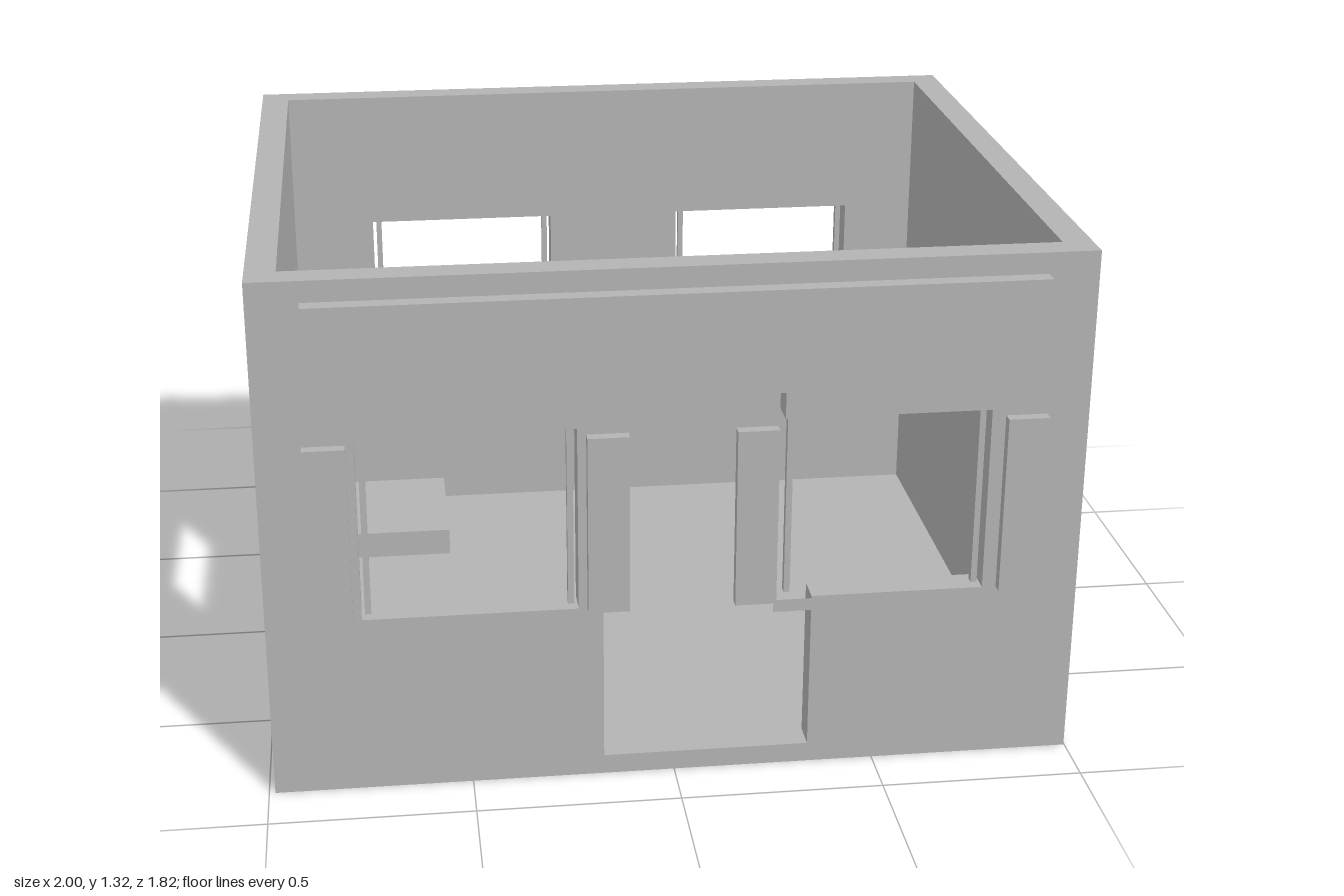
import * as THREE from 'three';

const grey = new THREE.MeshStandardMaterial({ color: 0xb3b3b3, side: THREE.DoubleSide });
grey.name = 'plain grey';

const LEFT = -0.985, RIGHT = 0.998, BACK = -0.82, FRONT = 0.86, TOP = 1.32, T = 0.073;

export function createModel() {
  const model = new THREE.Group();
  model.name = 'shopBuilding';

  const add = (name, geometry) => {
    const mesh = new THREE.Mesh(geometry, grey);
    mesh.name = name;
    model.add(mesh);
    return mesh;
  };

  // box given by its limits on each axis
  const box = (name, x0, x1, y0, y1, z0, z1) =>
    add(name, new THREE.BoxGeometry(x1 - x0, y1 - y0, z1 - z0)
      .translate((x0 + x1) / 2, (y0 + y1) / 2, (z0 + z1) / 2));

  // flat upright plate facing front or back
  const plate = (name, x0, x1, y0, y1, z) => {
    const g = new THREE.PlaneGeometry(x1 - x0, y1 - y0);
    if (z < 0) g.rotateY(Math.PI);
    return add(name, g.translate((x0 + x1) / 2, (y0 + y1) / 2, z));
  };

  const rect = (x0, x1, y0, y1) => [[x0, y0], [x1, y0], [x1, y1], [x0, y1]];
  const points = list => list.map(p => new THREE.Vector2(p[0], p[1]));

  // wall slab with openings, in the xy plane
  const wallGeometry = (outline, openings) => {
    const shape = new THREE.Shape(points(outline));
    for (const o of openings) shape.holes.push(new THREE.Path(points(o)));
    return new THREE.ExtrudeGeometry(shape, { depth: T, bevelEnabled: false });
  };

  // leave the two ends of a wall open
  const openEnds = (geometry, x0, x1) => {
    const p = geometry.attributes.position, kept = [];
    for (let i = 0; i < p.count; i += 3) {
      const atEnd = x => [0, 1, 2].every(k => Math.abs(p.getX(i + k) - x) < 1e-4);
      if (atEnd(x0) || atEnd(x1)) continue;
      for (let k = 0; k < 3; k++) kept.push(p.getX(i + k), p.getY(i + k), p.getZ(i + k));
    }
    const g = new THREE.BufferGeometry();
    g.setAttribute('position', new THREE.Float32BufferAttribute(kept, 3));
    g.computeVertexNormals();
    return g;
  };

  // floor
  box('floor', LEFT, RIGHT, 0, 0.05, BACK, FRONT);

  // front wall: one window, and a doorway that runs into the second window
  const face = rect(LEFT, RIGHT, 0, TOP);
  const doorway = [[-0.175, 0.05], [0.335, 0.05], [0.335, 0.46], [0.76, 0.46],
    [0.76, 0.93], [0.26, 0.93], [0.26, 1.0], [-0.175, 1.0]];
  const frontWall = wallGeometry(face, [rect(-0.755, -0.235, 0.46, 0.93), doorway]);
  add('frontWall', openEnds(frontWall, LEFT, RIGHT).translate(0, 0, FRONT - T));

  // back wall with two windows
  const backSpans = [[-0.685, -0.16], [0.215, 0.73]];
  const backWall = wallGeometry(face, backSpans.map(s => rect(s[0], s[1], 0.53, 0.945)));
  add('backWall', openEnds(backWall, LEFT, RIGHT).translate(0, 0, BACK));

  // side walls, one with a window
  const z0 = BACK + T, z1 = FRONT - T;
  box('solidSideWall', RIGHT - T, RIGHT, 0, TOP, z0, z1);
  const sideWall = wallGeometry(rect(z0, z1, 0, TOP), [rect(-0.17, 0.38, 0.53, 0.96)]);
  add('windowSideWall', sideWall.rotateY(-Math.PI / 2).translate(LEFT + T, 0, 0));

  // front windows: sills, frame bars and shutters
  for (const [x0, x1] of [[-0.75, -0.24], [0.268, 0.757]]) {
    plate('frontSill', x0 - 0.03, x1 + 0.03, 0.43, 0.462, FRONT + 0.015);
    box('frontFrameBar', x0 + 0.003, x0 + 0.018, 0.46, 0.925, 0.81, 0.83);
    box('frontFrameBar', x1 - 0.018, x1 - 0.003, 0.46, 0.925, 0.81, 0.83);
  }
  for (const x of [-0.825, -0.165, 0.19, 0.84]) {
    box('shutter', x - 0.05, x + 0.05, 0.467, 0.92, 0.874, 0.902);
  }

  // back windows: sills and frame bars
  for (const [x0, x1] of backSpans) {
    plate('backSill', x0 - 0.03, x1 + 0.03, 0.5, 0.532, BACK - 0.015);
    box('backFrameBar', x0 + 0.01, x0 + 0.025, 0.53, 0.945, -0.79, -0.77);
    box('backFrameBar', x1 - 0.025, x1 - 0.01, 0.53, 0.945, -0.79, -0.77);
  }

  // side window: sill and frame bars
  add('sideSill', new THREE.PlaneGeometry(0.61, 0.032)
    .rotateY(-Math.PI / 2).translate(LEFT - 0.015, 0.516, 0.105));
  for (const z of [-0.155, 0.365]) {
    box('sideFrameBar', -0.955, -0.935, 0.53, 0.96, z - 0.0075, z + 0.0075);
  }

  // sign board and door lintel
  box('signBoard', -0.862, 0.873, 1.07, 1.27, 0.867, 0.907);
  plate('doorLintel', -0.205, 0.365, 1.003, 1.067, FRONT + 0.015);

  // low counters inside
  box('counter', -0.867, -0.512, 0.05, 0.27, 0.12, 0.48);
  box('counter', -0.867, -0.512, 0.05, 0.27, -0.39, -0.03);

  // downpipes with brackets
  for (const x of [-0.893, 0.903]) {
    add('downpipe', new THREE.CylinderGeometry(0.022, 0.022, 1.2, 8)
      .toNonIndexed().translate(x, 0.68, -0.855));
    for (const y of [0.24, 0.962]) {
      add('pipeBracket', new THREE.CylinderGeometry(0.027, 0.027, 0.025, 8).translate(x, y, -0.885));
    }
  }

  return model;
}
